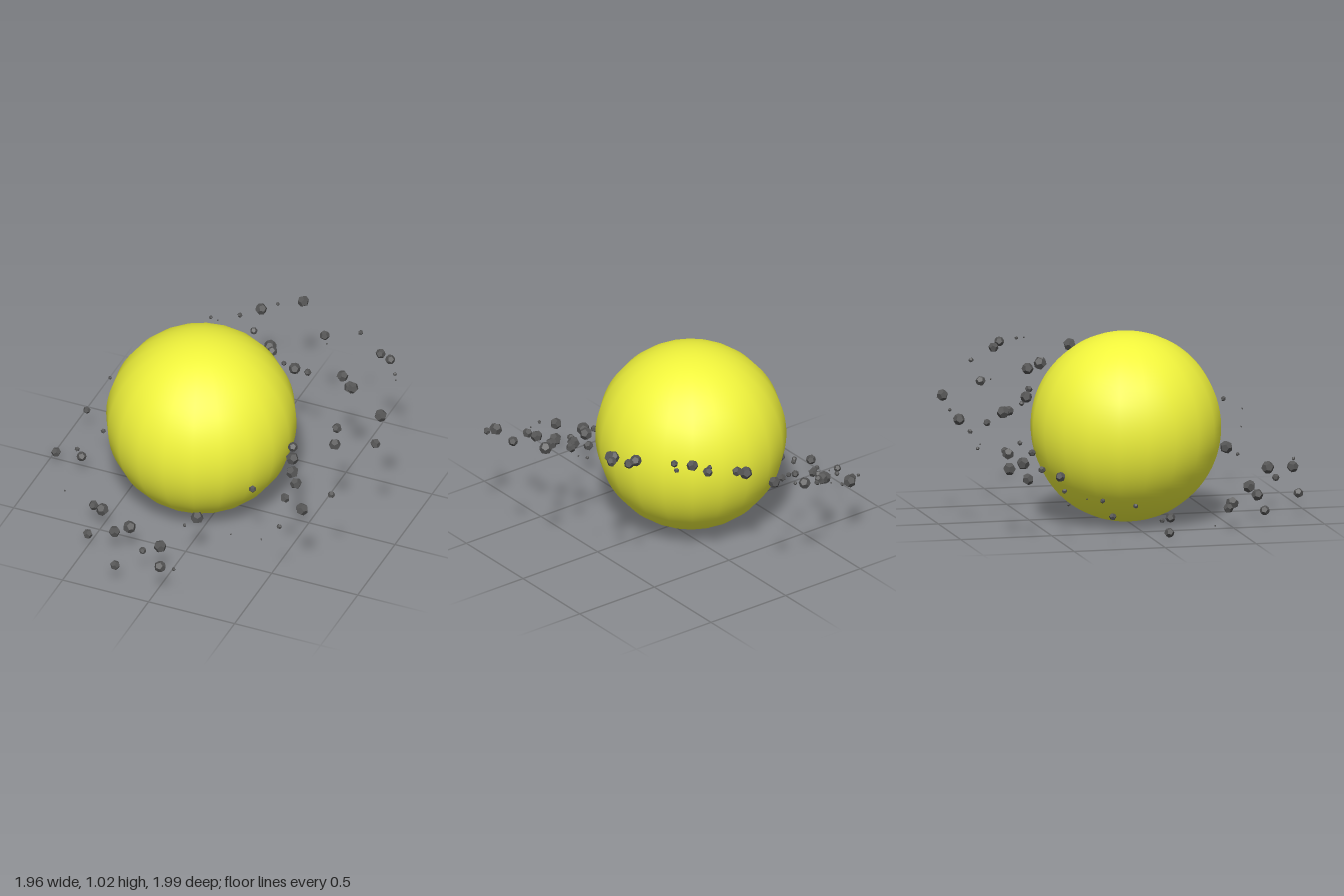
import * as THREE from 'three';

// Rock positions [x, z] in the belt, grouped by rock radius
const BELT = [
  { name: 'boulder', radius: 0.035, spots: [
    [-0.611, -0.76], [-0.519, -0.661], [-0.487, 0.495], [-0.265, 0.643], [-0.016, 0.807], [0.114, 0.611],
    [0.722, 0.606], [0.542, 0.32], [0.497, 0.217], [0.892, -0.058], [0.616, -0.288], [-0.003, -0.645]] },
  { name: 'largeRock', radius: 0.032, spots: [
    [0.05, -0.966], [-0.18, -0.931], [-0.45, -0.728], [-0.683, -0.675], [-0.341, 0.669], [0.05, 0.96],
    [0.6, 0.407], [0.709, 0.135], [0.632, -0.283], [0.532, -0.378], [0.217, -0.463]] },
  { name: 'mediumRock', radius: 0.027, spots: [
    [-0.585, -0.473], [-0.955, 0.034], [-0.786, 0.082], [-0.553, 0.458], [-0.495, 0.672], [-0.228, 0.923],
    [0.582, 0.511], [0.463, 0.13], [0.952, 0.151], [0.669, 0.013], [0.767, -0.476], [0.69, -0.526],
    [0.291, -0.696], [0.026, -0.606]] },
  { name: 'smallRock', radius: 0.02, spots: [
    [-0.153, -0.77], [-0.42, -0.738], [-0.384, -0.579], [-0.548, -0.566], [-0.905, -0.265],
    [-0.108, 0.828], [0.357, 0.426], [0.852, 0.513], [0.31, -0.426]] },
  { name: 'pebble', radius: 0.014, spots: [
    [-0.288, -0.897], [-0.304, -0.627], [-0.733, -0.487], [-0.754, -0.283], [-0.738, -0.098],
    [-0.836, 0.024], [0.64, 0.725], [0.5, -0.696], [0.135, -0.508]] },
  { name: 'chip', radius: 0.01, spots: [
    [-0.095, -0.96], [-0.458, -0.897], [-0.87, -0.497], [0.14, 0.987], [0.063, 0.661], [0.844, -0.362]] },
  { name: 'crumb', radius: 0.005, spots: [
    [-0.405, -0.87], [-0.77, -0.373], [-0.775, 0.331], [0.373, 0.757], [0.574, 0.812],
    [0.868, -0.315], [0.333, -0.63]] },
];

// Height of the tilted belt plane
const beltHeight = (x, z) => 0.436 + 0.372 * x - 0.243 * z;

export function createModel() {
  const model = new THREE.Group();
  model.name = 'planetWithBelt';

  // Planet: 20 sides around, fine from pole to pole
  const planet = new THREE.Mesh(
    new THREE.SphereGeometry(0.51, 20, 64),
    new THREE.MeshStandardMaterial({ color: 0xf0f33c }),
  );
  planet.name = 'planet';
  planet.position.set(-0.125, 0.511, 0);
  model.add(planet);

  // Asteroid belt: faceted rocks, each turned differently
  const belt = new THREE.Group();
  belt.name = 'asteroidBelt';
  const rockMaterial = new THREE.MeshStandardMaterial({ color: 0x555555, flatShading: true });
  let turn = 0;
  for (const { name, radius, spots } of BELT) {
    const geometry = new THREE.DodecahedronGeometry(radius);
    for (const [x, z] of spots) {
      const rock = new THREE.Mesh(geometry, rockMaterial);
      rock.name = name;
      rock.position.set(x, beltHeight(x, z), z);
      turn += 1;
      rock.rotation.set(turn * 1.3, turn * 2.1, turn * 0.7);
      belt.add(rock);
    }
  }
  model.add(belt);
  return model;
}
